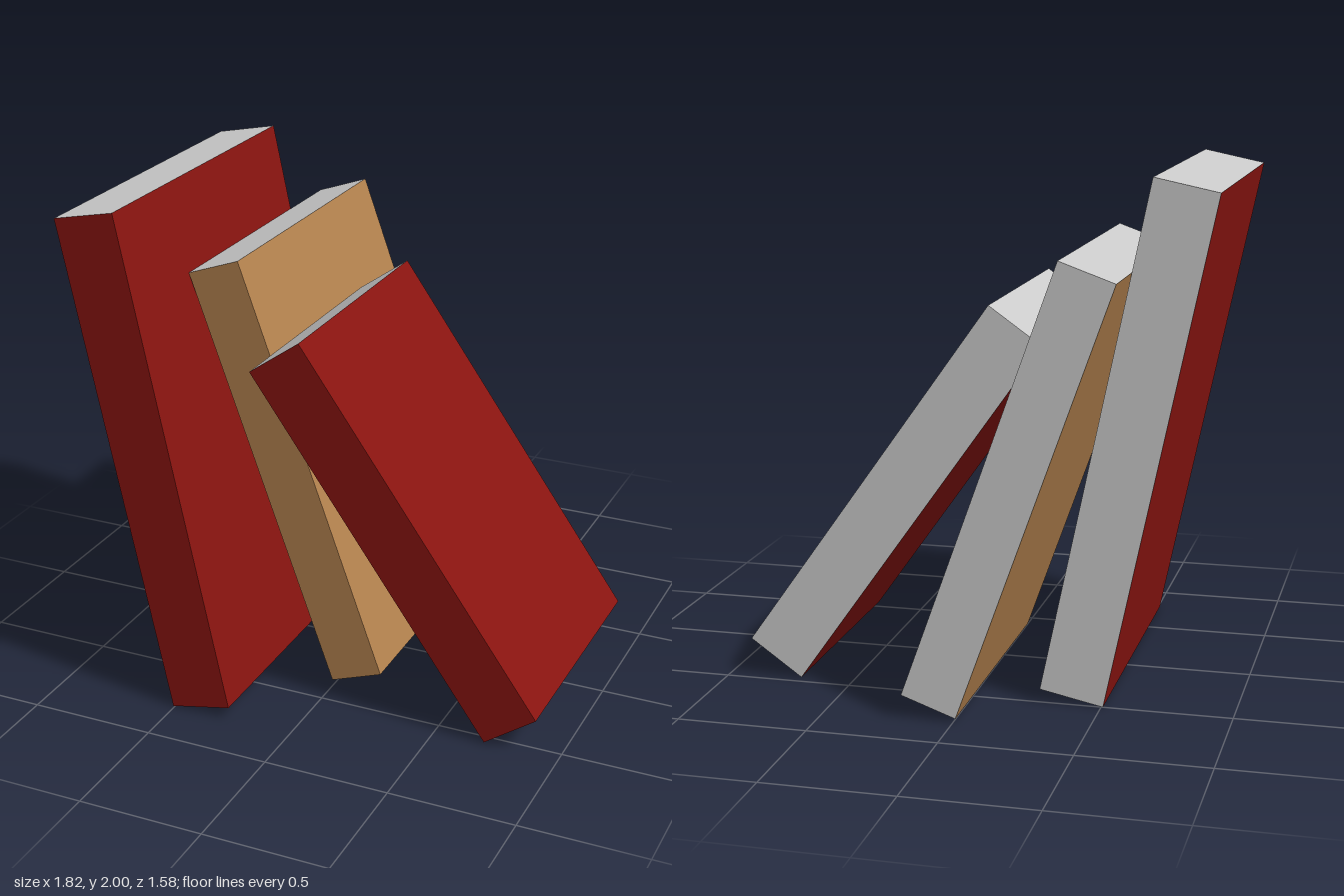
import * as THREE from 'three';

const pages = new THREE.MeshStandardMaterial({ color: 0xcccccc });
const red = new THREE.MeshStandardMaterial({ color: 0x8a1410 });
const tan = new THREE.MeshStandardMaterial({ color: 0xb5834f });

// A closed book: cover on both sides and the front spine, pages on top, bottom and back.
function makeBook({ name, cover, thickness, height, x, y, back, front, lean }) {
  const geometry = new THREE.BoxGeometry(thickness, height, front - back);
  // Face order: +x, -x, +y, -y, +z, -z
  const book = new THREE.Mesh(geometry, [cover, cover, pages, pages, cover, pages]);
  book.name = name;
  book.position.set(x, y, (front + back) / 2);
  book.rotation.z = lean;
  return book;
}

export function createModel() {
  const group = new THREE.Group();
  group.name = 'leaningBooks';
  const books = [
    { name: 'tallBook', cover: red, thickness: 0.25, height: 1.99, x: -0.587, y: 1.0, back: -0.5, front: 0.79, lean: 0.205 },
    { name: 'middleBook', cover: tan, thickness: 0.222, height: 1.741, x: -0.197, y: 0.872, back: -0.79, front: 0.38, lean: 0.343 },
    { name: 'shortBook', cover: red, thickness: 0.25, height: 1.668, x: 0.325, y: 0.759, back: -0.47, front: 0.55, lean: 0.616 },
  ];
  for (const spec of books) group.add(makeBook(spec));
  return group;
}
